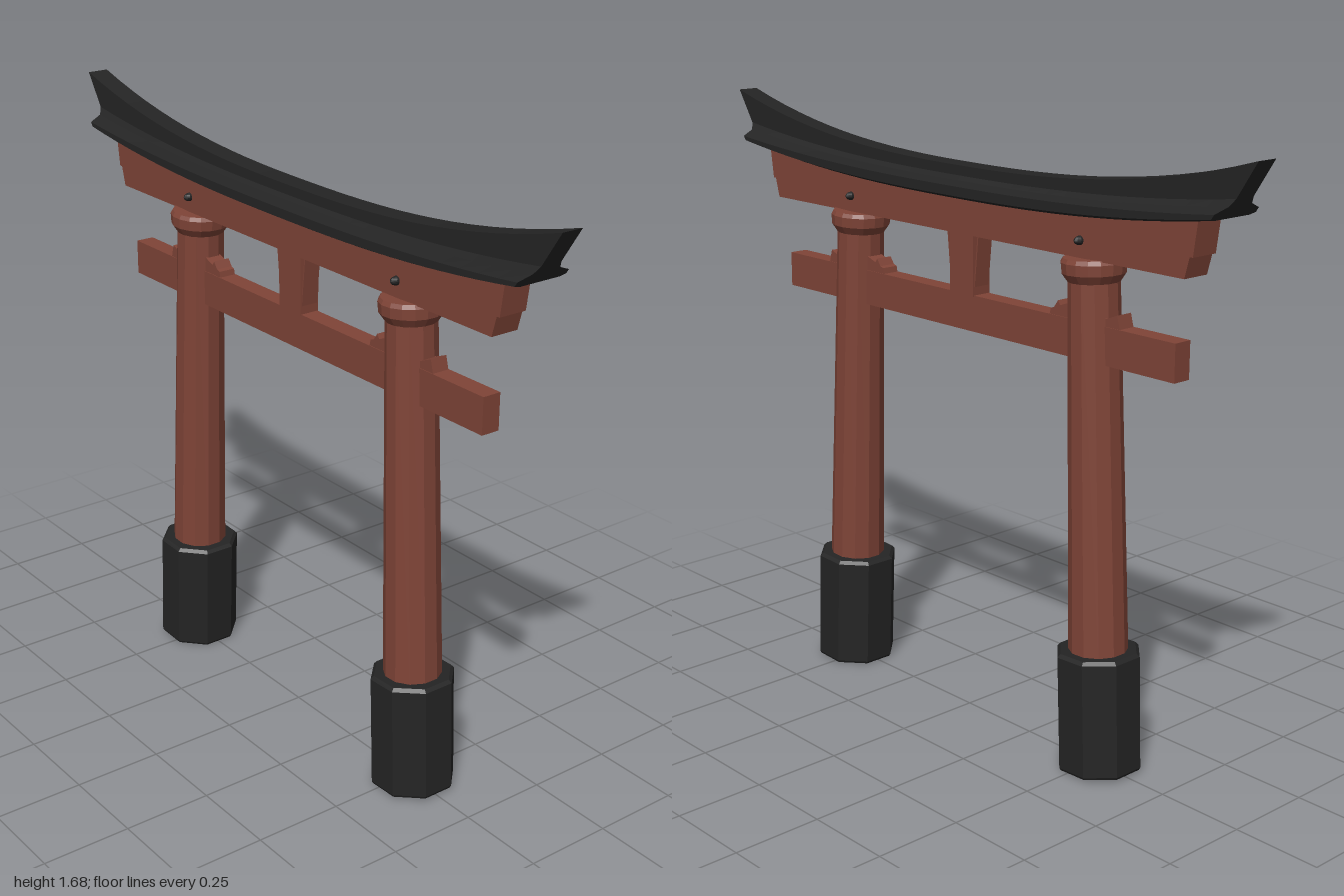
import * as THREE from 'three';

const red = new THREE.MeshStandardMaterial({ name: 'vermilionWood', color: 0x7f4437, flatShading: true });
const black = new THREE.MeshStandardMaterial({ name: 'blackLacquer', color: 0x242424, flatShading: true });

const v2 = (p) => new THREE.Vector2(p[0], p[1]);

function part(parent, name, geometry, material) {
  const mesh = new THREE.Mesh(geometry, material);
  mesh.name = name;
  parent.add(mesh);
  return mesh;
}

// Side profile given as [z, y] points, given a thickness across x
function slab(points, width) {
  const g = new THREE.ExtrudeGeometry(new THREE.Shape(points.map(v2)), { depth: width, bevelEnabled: false });
  g.translate(0, 0, -width / 2);
  g.rotateY(-Math.PI / 2);
  return g;
}

// Turned profile given as [radius, y] points
function turned(points, sides) {
  return new THREE.LatheGeometry(points.map(v2), sides, Math.PI / sides);
}

// Upward sweep shared by the roof and the beam beneath it
const sweep = (t) => Math.pow(Math.abs(t), 2.5);

// Roof section lofted along z: [half width, y at middle, y at end, z at end]
function roofGeometry() {
  const section = [
    [0.031, 1.565, 1.685, 1.0],
    [0.031, 1.538, 1.592, 0.94],
    [0.042, 1.527, 1.573, 0.927],
    [0.08, 1.518, 1.558, 0.917],
    [0.08, 1.492, 1.546, 0.909],
    [0.062, 1.483, 1.541, 0.906],
  ];
  const steps = 28;
  const n = section.length;
  const ring = 2 * n;
  const positions = [];
  const index = [];
  for (let i = 0; i <= steps; i++) {
    const t = (2 * i) / steps - 1;
    const outline = [
      ...section.map((s) => [1, s]),
      ...section.slice().reverse().map((s) => [-1, s]),
    ];
    for (const [side, [w, mid, end, z]] of outline) {
      positions.push(side * w, mid + (end - mid) * sweep(t), z * t);
    }
  }
  const quad = (a, b, c, d) => index.push(a, b, c, a, c, d);
  for (let i = 0; i < steps; i++) {
    for (let j = 0; j < ring; j++) {
      const k = (j + 1) % ring;
      const a = i * ring;
      const b = a + ring;
      quad(a + j, b + j, b + k, a + k);
    }
  }
  // End caps, made of level strips from side to side
  const last = steps * ring;
  for (let j = 0; j < n - 1; j++) {
    const l = ring - 1 - j;
    quad(j, j + 1, l - 1, l);
    quad(last + j, last + l, last + l - 1, last + j + 1);
  }
  const g = new THREE.BufferGeometry();
  g.setAttribute('position', new THREE.Float32BufferAttribute(positions, 3));
  g.setIndex(index);
  g.computeVertexNormals();
  return g;
}

// Main beam: flat underside, stepped ends, top curved to meet the roof
function beamGeometry() {
  const points = [[-0.8, 1.385], [0.8, 1.385], [0.815, 1.44], [0.825, 1.44], [0.838, 1.535]];
  for (let i = 1; i < 20; i++) {
    const z = 0.838 * (1 - i / 10);
    points.push([z, 1.492 + 0.053 * sweep(z / 0.908)]);
  }
  points.push([-0.838, 1.535], [-0.825, 1.44], [-0.815, 1.44]);
  return slab(points, 0.082);
}

export function createModel() {
  const gate = new THREE.Group();
  gate.name = 'shrineGate';

  part(gate, 'roof', roofGeometry(), black);
  part(gate, 'mainBeam', beamGeometry(), red);

  // Tie beam passing through both pillars
  const tie = part(gate, 'tieBeam', new THREE.BoxGeometry(0.054, 0.1, 1.535), red);
  tie.position.y = 1.17;

  // Short strut between the beams
  const strut = part(gate, 'centerStrut', new THREE.BoxGeometry(0.06, 0.17, 0.094), red);
  strut.position.y = 1.302;

  for (const s of [1, -1]) {
    // Thin flared slat on each side of the strut
    const slat = part(gate, 'strutSlat', new THREE.BoxGeometry(0.05, 0.14, 0.004), red);
    slat.position.set(0, 1.313, s * 0.053);
    slat.rotation.x = s * 0.1;

    // Leaning pillar with its collar and foot
    const post = new THREE.Group();
    post.name = s > 0 ? 'frontPost' : 'backPost';
    post.position.z = s * 0.522;
    post.rotation.x = -s * 0.042;
    gate.add(post);
    part(post, 'pillar', turned([[0, 0.3], [0.08, 0.3], [0.067, 1.35], [0, 1.35]], 12), red);
    part(post, 'collar', turned([
      [0, 1.325], [0.068, 1.325], [0.083, 1.347], [0.085, 1.375], [0.079, 1.386], [0, 1.386],
    ], 16), red);
    part(post, 'foot', turned([
      [0, 0.005], [0.113, 0.005], [0.117, 0.012], [0.117, 0.328], [0.108, 0.337], [0, 0.337],
    ], 8), black);

    // Stepped wedges sitting on the tie beam either side of the pillar
    const wedge = [
      [0.582, 1.218], [0.572, 1.255], [0.535, 1.24], [0.41, 1.262], [0.372, 1.248],
      [0.364, 1.26], [0.35, 1.24], [0.338, 1.236], [0.334, 1.218],
    ].map(([z, y]) => [s * z, y]);
    part(gate, 'wedge', slab(wedge, 0.05), red);

    // Round pegs on both faces of the main beam
    for (const side of [1, -1]) {
      const peg = part(gate, 'peg', new THREE.SphereGeometry(0.012, 10, 8), black);
      peg.position.set(side * 0.042, 1.43, s * 0.455);
      peg.scale.x = 1.6;
    }
  }
  return gate;
}
